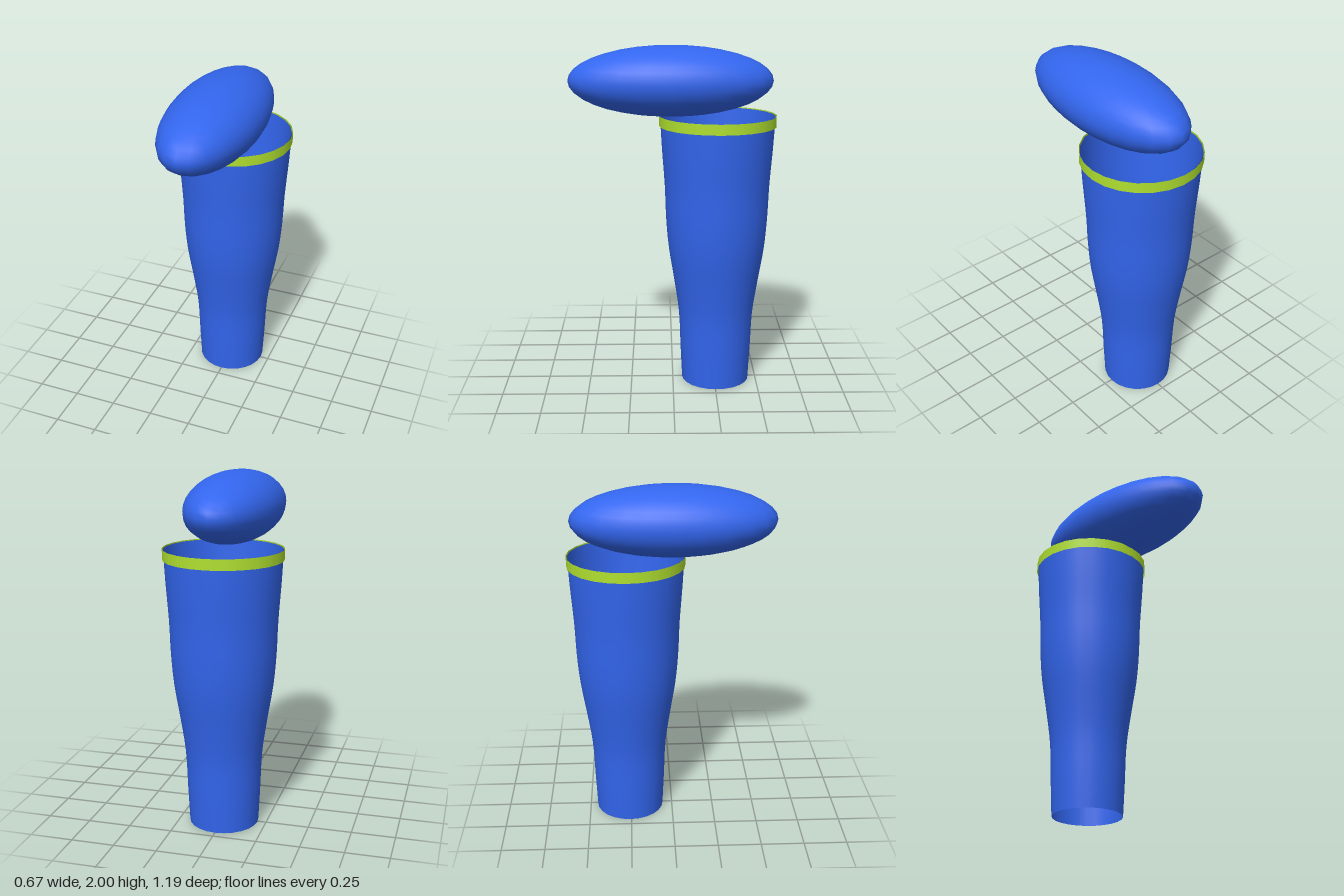
import * as THREE from 'three';

const SIDES = 24;

export function createModel() {
  const model = new THREE.Group();
  const blue = new THREE.MeshStandardMaterial({ color: 0x3366ee, side: THREE.DoubleSide });
  const lime = new THREE.MeshStandardMaterial({ color: 0xb0e030, side: THREE.DoubleSide });

  const add = (name, geometry, material, y, z) => {
    const mesh = new THREE.Mesh(geometry, material);
    mesh.name = name;
    mesh.position.set(0, y, z);
    model.add(mesh);
    return mesh;
  };

  // Open leg tube, flaring from ankle to cuff
  const profile = new THREE.SplineCurve([
    [0.2, 0], [0.21, 0.2], [0.22, 0.42], [0.248, 0.62], [0.28, 0.82],
    [0.296, 1.0], [0.304, 1.2], [0.32, 1.42], [0.33, 1.6],
  ].map(([r, y]) => new THREE.Vector2(r, y)));
  add('legTube', new THREE.LatheGeometry(profile.getPoints(24), SIDES), blue, 0, -0.257);

  // Thin band around the open cuff
  add('cuffBand', new THREE.CylinderGeometry(0.336, 0.336, 0.06, SIDES, 1, true), lime, 1.575, -0.257);

  // Long rounded foot resting over the cuff
  const foot = add('foot', new THREE.SphereGeometry(1, SIDES, 18), blue, 1.8, 0.012);
  foot.scale.set(0.26, 0.2, 0.583);

  return model;
}
